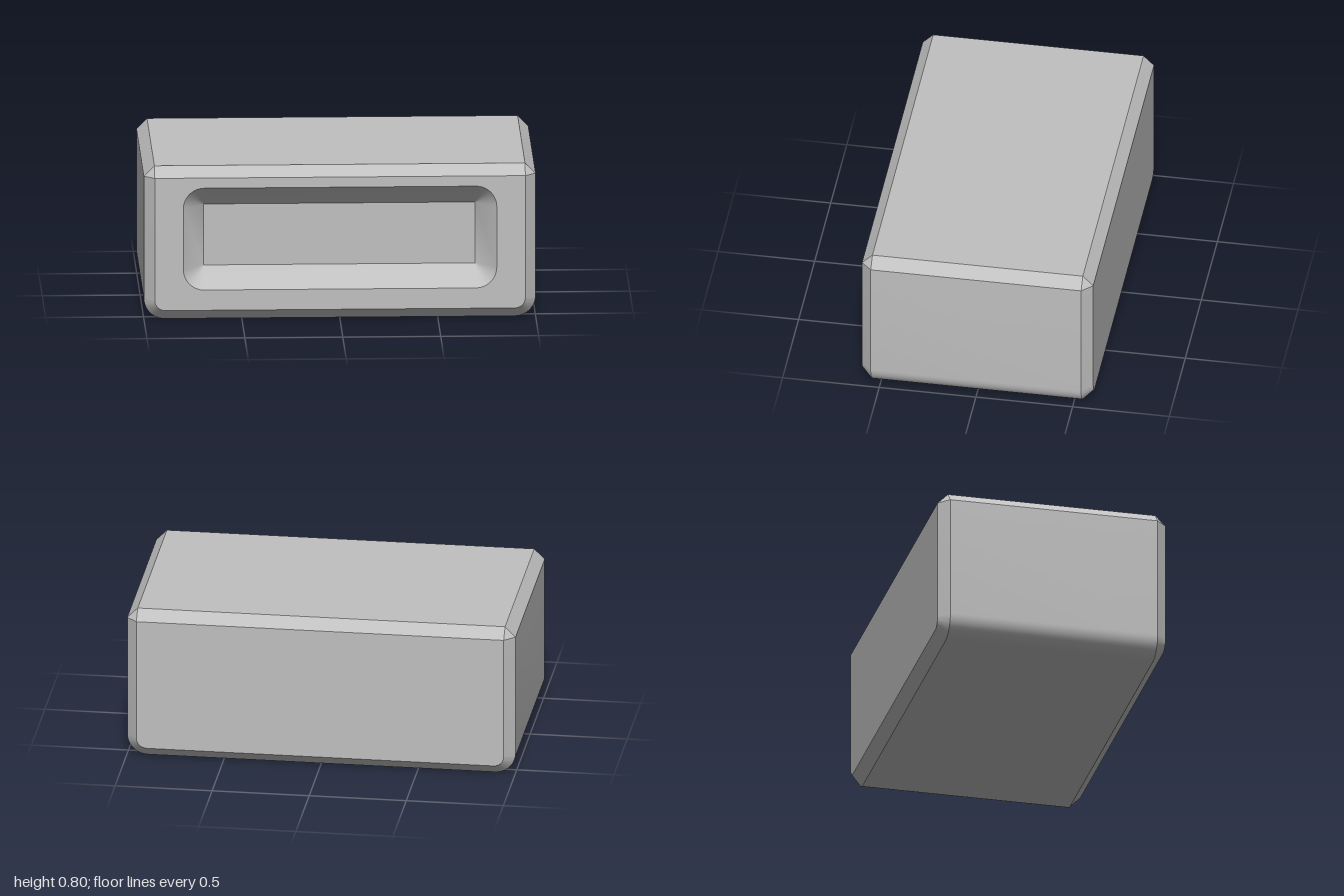
import * as THREE from 'three';
import { toCreasedNormals } from 'three/addons/utils/BufferGeometryUtils.js';

const HALF_W = 1, HEIGHT = 0.8, HALF_D = 0.598;
const BEVEL = 0.054;   // edge chamfer
const ROUND = 0.107;   // bottom corner radius, recess corner radius and recess depth
const STEPS = 10;

// Quarter arc about (cx, cy), counter-clockwise from a start angle
function arc(cx, cy, radius, start) {
  return Array.from({ length: STEPS + 1 }, (_, i) => {
    const a = start + (i / STEPS) * Math.PI / 2;
    return new THREE.Vector2(cx + radius * Math.cos(a), cy + radius * Math.sin(a));
  });
}

// Body section: rounded below, chamfered above, moved inwards by inset
function bodyLoop(inset) {
  const right = [
    ...arc(HALF_W - ROUND, ROUND, ROUND - inset, -Math.PI / 2),
    new THREE.Vector2(HALF_W - inset, HEIGHT - BEVEL),
    new THREE.Vector2(HALF_W - BEVEL, HEIGHT - inset),
  ];
  const left = right.map(p => new THREE.Vector2(-p.x, p.y)).reverse();
  return [...right, ...left];
}

// Recess section: rounded rectangle whose corners sharpen as it shrinks
function recessLoop(inset) {
  const x = 0.8 - ROUND, low = 0.16 + ROUND, high = 0.693 - ROUND, r = ROUND - inset;
  return [
    ...arc(x, low, r, -Math.PI / 2),
    ...arc(x, high, r, 0),
    ...arc(-x, high, r, Math.PI / 2),
    ...arc(-x, low, r, Math.PI),
  ];
}

// Skin between consecutive rings, leaving out collapsed triangles
function loft(rings) {
  const pos = [];
  const tri = (a, b, c) => {
    const area = b.clone().sub(a).cross(c.clone().sub(a)).length();
    if (area > 1e-8) for (const p of [a, b, c]) pos.push(p.x, p.y, p.z);
  };
  for (let k = 0; k < rings.length - 1; k++) {
    const [a, b] = [rings[k], rings[k + 1]].map(
      ({ loop, z }) => loop.map(p => new THREE.Vector3(p.x, p.y, z)));
    for (let i = 0; i < a.length; i++) {
      const j = (i + 1) % a.length;
      tri(a[i], a[j], b[j]);
      tri(a[i], b[j], b[i]);
    }
  }
  const g = new THREE.BufferGeometry();
  g.setAttribute('position', new THREE.Float32BufferAttribute(pos, 3));
  return toCreasedNormals(g, Math.PI / 7);
}

// Outline without repeated points, for flat faces
function outline(loop) {
  return loop.filter((p, i) => p.distanceTo(loop[(i + 1) % loop.length]) > 1e-5);
}

export function createModel() {
  const group = new THREE.Group();
  group.name = 'recessedBlock';
  const grey = new THREE.MeshStandardMaterial({ color: 0xc0c0c0 });
  grey.name = 'grey';

  const add = (name, geometry, z = 0) => {
    const mesh = new THREE.Mesh(geometry, grey);
    mesh.name = name;
    mesh.position.z = z;
    group.add(mesh);
  };

  // Sides with chamfered front and back edges
  add('shell', loft([
    { loop: bodyLoop(BEVEL), z: -HALF_D },
    { loop: bodyLoop(0), z: -HALF_D + BEVEL },
    { loop: bodyLoop(0), z: HALF_D - BEVEL },
    { loop: bodyLoop(BEVEL), z: HALF_D },
  ]));

  // Front face with the recess opening, and plain back face
  const face = outline(bodyLoop(BEVEL));
  const front = new THREE.Shape(face);
  front.holes.push(new THREE.Path(outline(recessLoop(0))));
  add('frontFace', new THREE.ShapeGeometry(front), HALF_D);
  add('backFace', new THREE.ShapeGeometry(new THREE.Shape(face)).rotateY(Math.PI), -HALF_D);

  // Sloping recess walls and floor
  add('recessWalls', loft([
    { loop: recessLoop(0), z: HALF_D },
    { loop: recessLoop(ROUND), z: HALF_D - ROUND },
  ]));
  add('recessFloor',
    new THREE.ShapeGeometry(new THREE.Shape(outline(recessLoop(ROUND)))), HALF_D - ROUND);

  return group;
}
